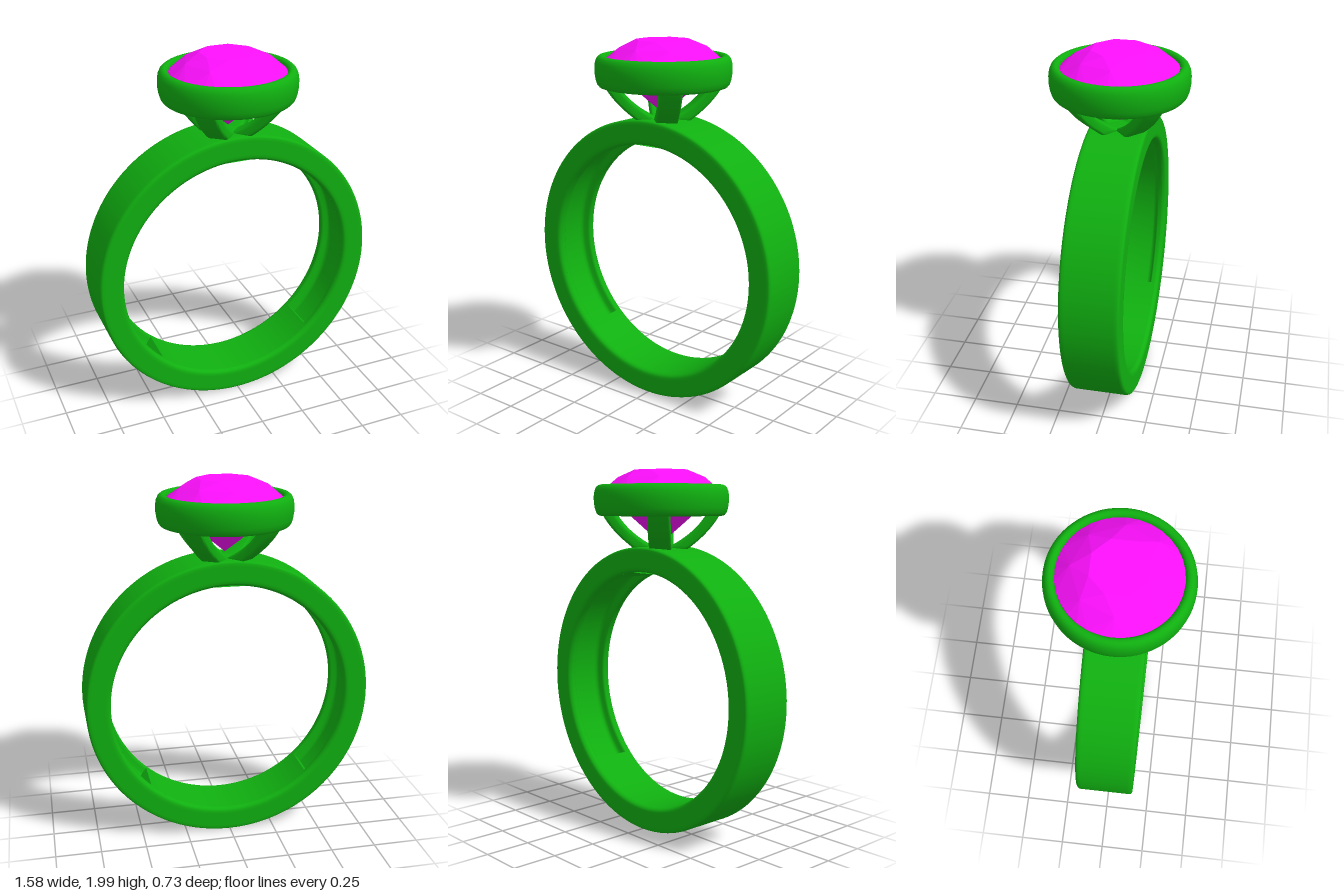
import * as THREE from 'three';
import { toCreasedNormals } from 'three/addons/utils/BufferGeometryUtils.js';
import { ConvexGeometry } from 'three/addons/geometries/ConvexGeometry.js';

const CY = 0.797, R_IN = 0.655; // band centre height and inner radius
const rad = THREE.MathUtils.degToRad;
const vec2 = (pts) => pts.map(([x, y]) => new THREE.Vector2(x, y));

export function createModel() {
  const model = new THREE.Group();
  const metal = new THREE.MeshStandardMaterial({ color: 0x10b010 });
  const metalThin = new THREE.MeshStandardMaterial({ color: 0x10b010, side: THREE.DoubleSide });
  const stone = new THREE.MeshStandardMaterial({ color: 0xff10ff, flatShading: true });

  const add = (name, geometry, material, parent = model) => {
    const mesh = new THREE.Mesh(geometry, material);
    mesh.name = name;
    parent.add(mesh);
    return mesh;
  };

  // Band: turned about the z axis; angles run from the bottom towards +x
  const band = new THREE.Group();
  band.name = 'band';
  band.position.y = CY;
  model.add(band);
  const turn = (name, pts, from, to) => {
    const segments = Math.max(4, Math.round((to - from) / 2.5));
    const g = new THREE.LatheGeometry(vec2(pts), segments, rad(from), rad(to - from));
    add(name, g.rotateX(Math.PI / 2), metalThin, band);
  };

  // Outer face and both sides with softened edges
  const half = [[R_IN, 0.132], [0.658, 0.142], [0.664, 0.15], [0.674, 0.155], [0.69, 0.155],
    [0.762, 0.155], [0.778, 0.155], [0.786, 0.15], [0.79, 0.14], [0.79, 0.125]];
  turn('bandShell', [...half.map(([r, z]) => [r, -z]), ...half.slice().reverse()], 0, 360);

  // Plain inner face at the bottom and beside the top hole
  const plain = [[R_IN, 0.132], [R_IN, -0.132]];
  for (const [from, to] of [[-43, 43], [160, 172], [188, 200]]) turn('innerFace', plain, from, to);

  // Hollowed recess along each side of the inner face
  const wall = [[R_IN, 0.132], [R_IN, 0.112], [0.659, 0.106], [0.668, 0.102], [0.69, 0.098],
    [0.702, 0.09], [0.707, 0.075]];
  const recess = [...wall, ...wall.slice().reverse().map(([r, z]) => [r, -z])];
  for (const [from, to] of [[43, 160], [200, 317]]) {
    turn('recess', recess, from, to);
    for (const a of [from, to]) {
      const end = new THREE.ShapeGeometry(new THREE.Shape(vec2(recess)));
      end.rotateY(rad(a) - Math.PI / 2).rotateX(Math.PI / 2);
      add('recessEnd', end, metalThin, band);
    }
  }

  // Inner face at the top, pierced under the stone and bent to the band
  const w = R_IN * rad(8), holeR = 0.06, holeTop = 0.77;
  const patch = new THREE.Shape(vec2([[-w, -0.132], [w, -0.132], [w, 0.132], [-w, 0.132]]));
  patch.holes.push(new THREE.Path().absarc(0, 0, holeR, 0, Math.PI * 2, true));
  const patchGeo = new THREE.ShapeGeometry(patch, 24);
  const p = patchGeo.attributes.position;
  for (let i = 0; i < p.count; i++) {
    const a = p.getX(i) / R_IN;
    p.setXYZ(i, R_IN * Math.sin(a), R_IN * Math.cos(a), p.getY(i));
  }
  patchGeo.computeVertexNormals();
  add('piercedFace', patchGeo, metalThin, band);
  const depth = holeTop - R_IN + 0.003;
  const bore = new THREE.CylinderGeometry(holeR, holeR, depth, 32, 1, true);
  add('hole', bore.translate(0, holeTop - depth / 2, 0), metalThin, band);
  const cap = new THREE.CircleGeometry(holeR, 32).rotateX(Math.PI / 2);
  add('holeEnd', cap.translate(0, holeTop, 0), metalThin, band);

  // Four curved prongs on the diagonals
  const bevel = 0.014, width = 0.12;
  const side = new THREE.Shape();
  side.moveTo(0.02, 1.565);
  side.lineTo(0.13, 1.565);
  side.quadraticCurveTo(0.29, 1.68, 0.335, 1.8);
  side.lineTo(0.265, 1.8);
  side.quadraticCurveTo(0.2, 1.66, 0.02, 1.575);
  const extruded = new THREE.ExtrudeGeometry(side, {
    depth: width - 2 * bevel, curveSegments: 12, bevelEnabled: true,
    bevelSize: bevel, bevelThickness: bevel, bevelOffset: -bevel, bevelSegments: 3,
  });
  extruded.translate(0, 0, -width / 2 + bevel);
  const prong = toCreasedNormals(extruded, rad(40));
  for (let i = 0; i < 4; i++) {
    add('prong', prong, metal).rotation.y = Math.PI / 4 + i * Math.PI / 2;
  }

  // Bezel: rounded collar around the stone
  const collar = [[0.29, 1.8], [0.29, 1.765], [0.297, 1.756], [0.31, 1.754], [0.33, 1.754],
    [0.344, 1.758], [0.354, 1.77], [0.362, 1.795], [0.367, 1.83], [0.367, 1.86], [0.363, 1.888],
    [0.354, 1.908], [0.342, 1.918], [0.33, 1.921], [0.318, 1.917], [0.31, 1.908],
    [0.307, 1.895], [0.305, 1.87], [0.29, 1.8]];
  add('bezel', new THREE.LatheGeometry(vec2(collar), 72), metal);

  // Cut stone: rings of corners wrapped in flat facets
  const corners = [new THREE.Vector3(0, 1.608, 0)];
  const ring = (n, r, y, shift = 0) => {
    for (let i = 0; i < n; i++) {
      const a = ((i + shift) / n) * Math.PI * 2;
      corners.push(new THREE.Vector3(r * Math.sin(a), y, r * Math.cos(a)));
    }
  };
  ring(8, 0.15, 2.0, 0.5);  // table
  ring(8, 0.235, 1.962);    // crown
  ring(32, 0.308, 1.9);     // girdle
  ring(32, 0.308, 1.878);
  ring(8, 0.09, 1.679, 0.5); // pavilion
  add('gemstone', new ConvexGeometry(corners), stone);

  return model;
}
